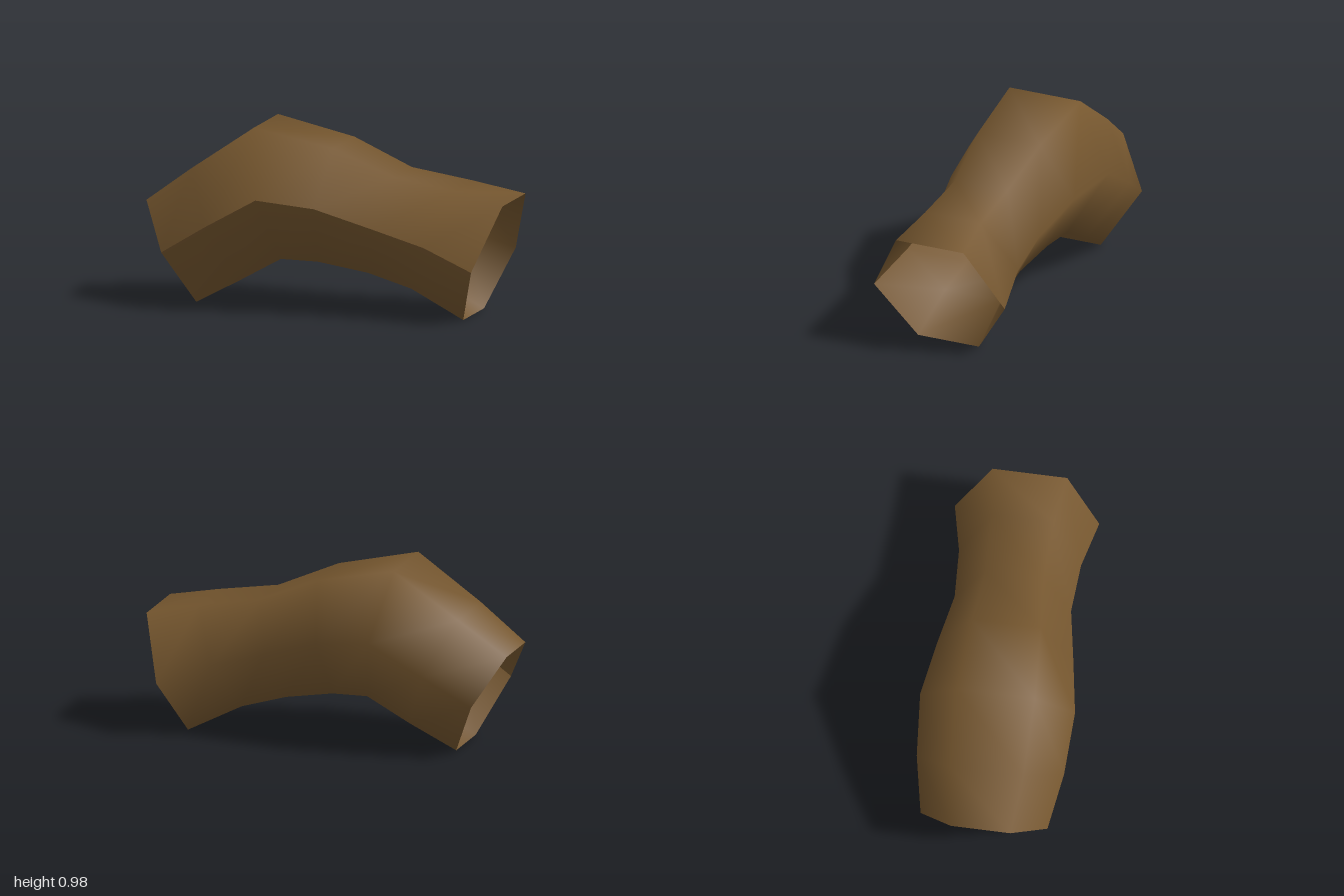
import * as THREE from 'three';

// Stations along the bent tube: upper, middle and lower points as [x, y],
// then the half widths at the upper, middle and lower levels
const stations = [
  { up: [-1.0, 0.545], mid: [-0.86, 0.3], low: [-0.72, 0.01], w: [0.16, 0.34, 0.165] },
  { up: [-0.74, 0.735], mid: [-0.6, 0.46], low: [-0.47, 0.145], w: [0.195, 0.395, 0.195] },
  { up: [-0.385, 0.978], mid: [-0.31, 0.625], low: [-0.235, 0.277], w: [0.21, 0.415, 0.205] },
  { up: [0.05, 0.885], mid: [0.0, 0.587], low: [-0.035, 0.27], w: [0.185, 0.365, 0.185] },
  { up: [0.38, 0.745], mid: [0.31, 0.485], low: [0.235, 0.22], w: [0.155, 0.312, 0.155] },
  { up: [0.72, 0.69], mid: [0.6, 0.405], low: [0.48, 0.15], w: [0.165, 0.327, 0.165] },
  { up: [1.0, 0.63], mid: [0.885, 0.298], low: [0.775, 0.0], w: [0.2, 0.387, 0.18] },
];

// Six-sided ring; the front corner is repeated so the shading breaks there
function ring({ up, mid, low, w }) {
  return [
    [...mid, w[1]], [...up, w[0]], [...up, -w[0]], [...mid, -w[1]],
    [...low, -w[2]], [...low, w[2]], [...mid, w[1]],
  ];
}

function tubeGeometry() {
  const positions = stations.flatMap((s) => ring(s).flat());
  const n = 7;
  const index = [];
  for (let i = 0; i < stations.length - 1; i++) {
    for (let j = 0; j < n - 1; j++) {
      const a = i * n + j;
      const b = a + n;
      index.push(a, b, b + 1, a, b + 1, a + 1);
    }
  }
  const geometry = new THREE.BufferGeometry();
  geometry.setAttribute('position', new THREE.Float32BufferAttribute(positions, 3));
  geometry.setIndex(index);
  geometry.computeVertexNormals();
  return geometry;
}

export function createModel() {
  const group = new THREE.Group();
  group.name = 'hollowLog';

  const bark = new THREE.MeshStandardMaterial({ color: 0x76572f, side: THREE.DoubleSide });
  bark.name = 'brown bark';

  // Open bent tube
  const tube = new THREE.Mesh(tubeGeometry(), bark);
  tube.name = 'logShell';
  group.add(tube);
  return group;
}
